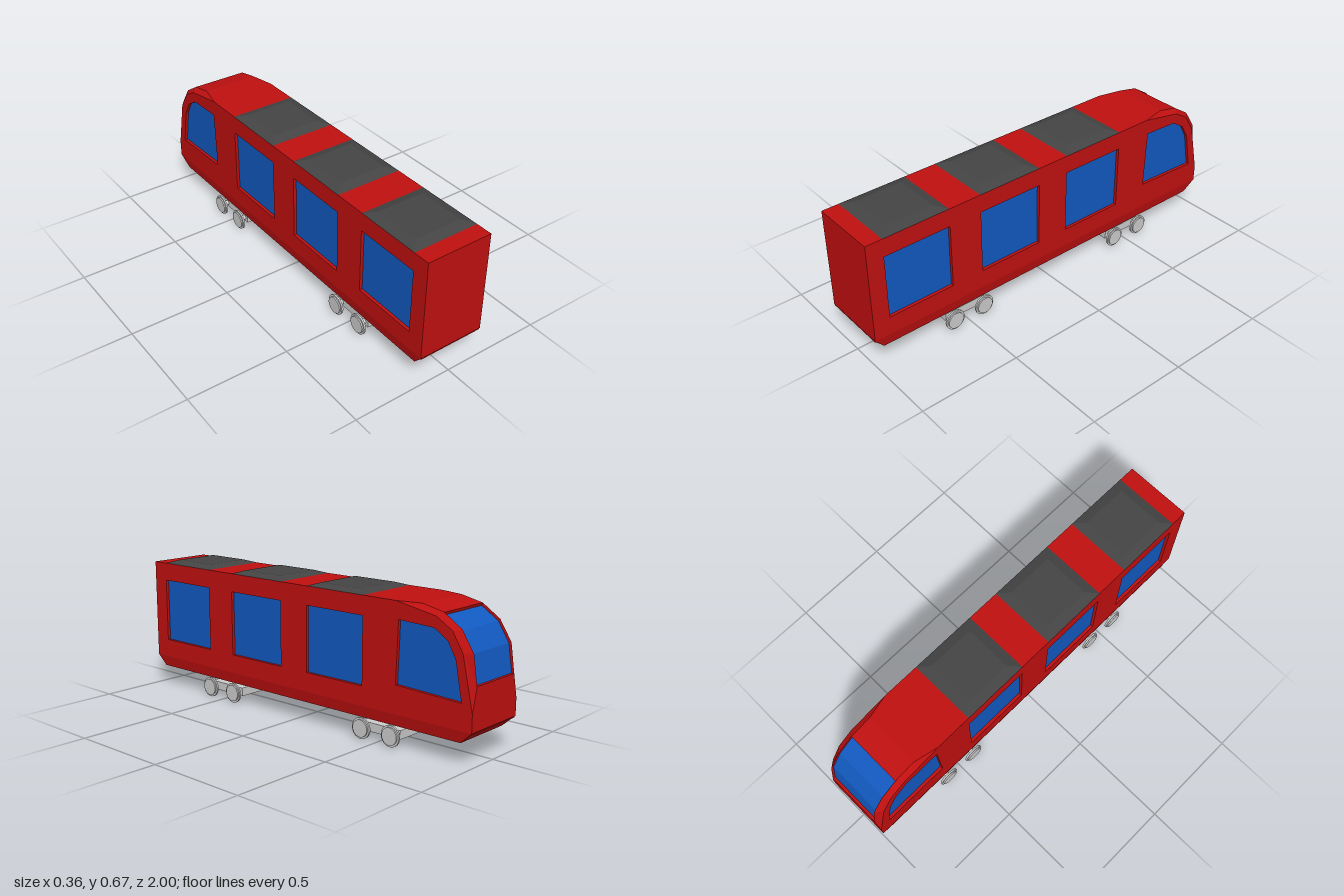
import * as THREE from 'three';

const W = 0.167;       // half width of the car
const NW = 0.14;       // half width of the nose strip
const RECESS = 0.015;  // depth of the window recesses

const red = new THREE.MeshStandardMaterial({ color: 0xc01010, side: THREE.DoubleSide, flatShading: true });
const blue = new THREE.MeshStandardMaterial({ color: 0x1259c0, side: THREE.DoubleSide, flatShading: true });
const dark = new THREE.MeshStandardMaterial({ color: 0x444444, flatShading: true });
const grey = new THREE.MeshStandardMaterial({ color: 0xcccccc });
const greyFlat = new THREE.MeshStandardMaterial({ color: 0xcccccc, flatShading: true });

function add(parent, name, geometry, material, x = 0, y = 0, z = 0) {
  const mesh = new THREE.Mesh(geometry, material);
  mesh.name = name;
  mesh.position.set(x, y, z);
  parent.add(mesh);
  return mesh;
}

// Flat-faced surface from four-cornered faces; collapsed triangles are dropped
function faces(quads) {
  const pos = [];
  const same = (p, q) => p.every((v, i) => v === q[i]);
  for (const [a, b, c, d] of quads) {
    for (const t of [[a, b, c], [a, c, d]]) {
      if (!same(t[0], t[1]) && !same(t[1], t[2]) && !same(t[0], t[2])) pos.push(...t.flat());
    }
  }
  const g = new THREE.BufferGeometry();
  g.setAttribute('position', new THREE.Float32BufferAttribute(pos, 3));
  g.computeVertexNormals();
  return g;
}

// Faces joining two rows of points
const ribbon = (a, b) => a.slice(1).map((p, i) => [a[i], p, b[i + 1], b[i]]);
// Row of [z, y, half width] placed on one side
const row = (pts, s) => pts.map(([z, y, w]) => [s * w, y, z]);
// Band across the car from side to side
const band = (pts) => ribbon(row(pts, 1), row(pts, -1));

// Box with a smaller top
function frustum(w, d, topW, topD, h) {
  const g = new THREE.BoxGeometry(w, h, d);
  const p = g.attributes.position;
  for (let i = 0; i < p.count; i++) {
    if (p.getY(i) > 0) {
      p.setX(i, Math.sign(p.getX(i)) * topW / 2);
      p.setZ(i, Math.sign(p.getZ(i)) * topD / 2);
    }
  }
  g.translate(0, h / 2, 0);
  g.computeVertexNormals();
  return g;
}

// Nose outline on the centre strip, and the matching edge of the side wall
const roofEdge = [-0.6, 0.653, W];
const noseFoot = [-1, 0.235, W];
const strip = [[-0.72, 0.653, NW], [-0.83, 0.63, NW], [-0.92, 0.572, NW], [-0.98, 0.48, NW], [-1, 0.347, NW]];
const wallEdge = [[-0.81, 0.615, W], [-0.89, 0.567, W], [-0.945, 0.48, W]];
// Windshield, set in from the strip
const glass = [[-0.825, 0.617, NW], [-0.911, 0.562, NW], [-0.967, 0.475, NW], [-0.987, 0.347, NW]];

function bodyShell() {
  const quads = [
    ...band([[1, 0.153, W], [1, 0.653, W], roofEdge, strip[0], strip[1]]),   // end and roof
    ...band([strip[4], noseFoot, [-1, 0.153, W], [-0.94, 0.098, 0.157]]),    // lower nose
    ...band([[1, 0.153, W], [0.953, 0.098, 0.157]]),                         // end skirt
    ...band([[1, 0.148, W - 0.002], [-1, 0.148, W - 0.002]]),                // floor above the skirt
    ...band([strip[1], glass[0]]), ...band([strip[4], glass[3]]),            // windshield ledges
  ];
  for (const s of [1, -1]) {
    const outer = [roofEdge, ...strip, noseFoot];
    const inner = [roofEdge, wallEdge[0], ...wallEdge, wallEdge[2], noseFoot];
    quads.push(...ribbon(row(outer, s), row(inner, s)));                     // bevelled corner
    quads.push(...ribbon(row(strip.slice(1), s), row(glass, s)));            // windshield jambs
    quads.push(...ribbon(row([[1, 0.153, W], [-1, 0.153, W]], s),
      row([[0.953, 0.098, 0.157], [-0.94, 0.098, 0.157]], s)));              // side skirt
  }
  return faces(quads);
}

const toPoints = (pts) => pts.map(([z, y]) => new THREE.Vector2(z, y));

function sideOpenings() {
  const list = [0.75, 0.25, -0.25].map((z) => [
    [z - 0.167, 0.245], [z + 0.167, 0.245], [z + 0.167, 0.563], [z - 0.167, 0.563]]);
  list.push([[-0.605, 0.285], [-0.615, 0.573], [-0.8, 0.565], [-0.87, 0.52], [-0.91, 0.45], [-0.945, 0.272]]);
  return list.map(toPoints);
}

function bogie() {
  const g = new THREE.Group();
  g.name = 'bogie';
  add(g, 'bogieFrame', new THREE.BoxGeometry(0.234, 0.042, 0.22), greyFlat, 0, 0.051, 0).scale.x = 0.266 / 0.234;
  add(g, 'bogieCap', frustum(0.234, 0.19, 0.115, 0.09, 0.007), greyFlat, 0, 0.072, 0);
  add(g, 'pivot', new THREE.CylinderGeometry(0.021, 0.021, 0.075, 24), grey, 0, 0.1125, 0);
  for (const z of [-0.083, 0.083]) {
    add(g, 'axle', new THREE.CylinderGeometry(0.012, 0.012, 0.33, 20), grey, 0, 0.05, z).rotation.z = Math.PI / 2;
    for (const s of [1, -1]) {
      const flange = new THREE.CylinderGeometry(0.05, 0.05, 0.009, 32);
      const tread = new THREE.CylinderGeometry(0.041, 0.041, 0.009, 32);
      add(g, 'wheelFlange', flange, grey, s * 0.1675, 0.05, z).rotation.z = Math.PI / 2;
      add(g, 'wheelTread', tread, grey, s * 0.1745, 0.05, z).rotation.z = Math.PI / 2;
    }
  }
  return g;
}

export function createModel() {
  const model = new THREE.Group();
  model.name = 'railCar';

  add(model, 'bodyShell', bodyShell(), red);
  add(model, 'windshield', faces(band(glass)), blue);

  // Side walls with recessed windows
  const openings = sideOpenings();
  const wall = new THREE.Shape(toPoints([[1, 0.153], [1, 0.653], roofEdge, ...wallEdge, noseFoot, [-1, 0.153]]));
  wall.holes = openings.map((o) => new THREE.Path(o));
  const wallGeo = new THREE.ExtrudeGeometry(wall, { depth: RECESS, bevelEnabled: false });
  const paneGeo = new THREE.ShapeGeometry(openings.map((o) => new THREE.Shape(o)));
  for (const s of [1, -1]) {
    const side = s > 0 ? 'left' : 'right';
    add(model, side + 'Wall', wallGeo, red, s > 0 ? W : RECESS - W).rotation.y = -Math.PI / 2;
    add(model, side + 'Windows', paneGeo, blue, s * (W - RECESS)).rotation.y = -Math.PI / 2;
  }

  // Roof units
  for (const z of [0.75, 0.25, -0.25]) {
    add(model, 'roofUnit', frustum(0.334, 0.334, 0.236, 0.236, 0.016), dark, 0, 0.653, z);
  }

  // Bogies
  for (const z of [0.5, -0.5]) {
    const b = bogie();
    b.position.z = z;
    model.add(b);
  }
  return model;
}
